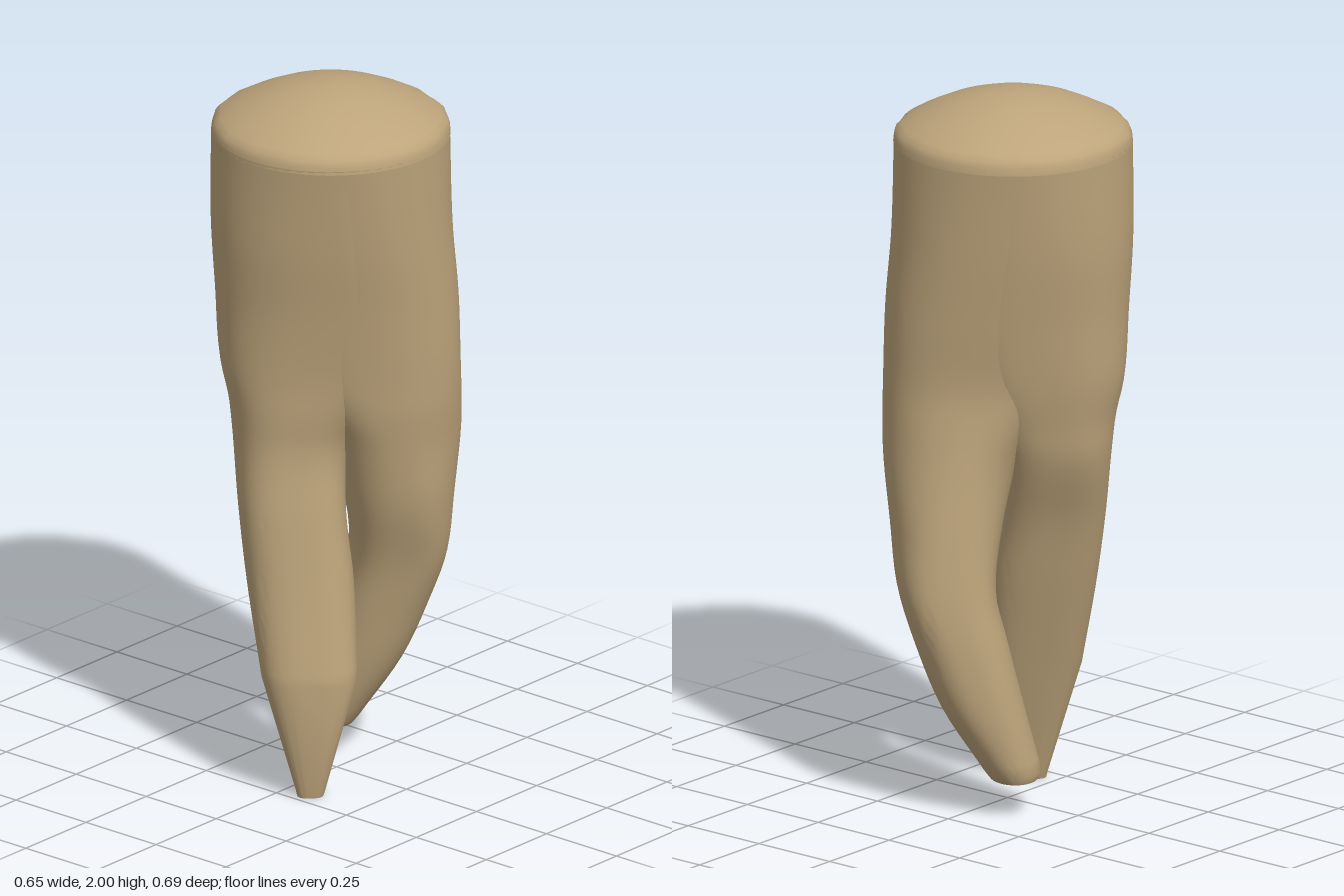
import * as THREE from 'three';
import { toCreasedNormals } from 'three/addons/utils/BufferGeometryUtils.js';

const SEG = 56, ROWS = 48;

// Each section: y, centre x, centre z, half length along the cleft, depth outward, depth inward,
// and roundness (1 is an ellipse, less is squarer). High up the two roots overlap as one trunk.
const frontSections = [
  [1.87, 0, 0.025, 0.324, 0.324, 0.2, 1],
  [1.6, 0, 0.02, 0.285, 0.327, 0.2, 0.85],
  [1.4, 0.002, 0.015, 0.248, 0.32, 0.19, 0.77],
  [1.2, -0.032, 0.05, 0.213, 0.258, 0.185, 0.71],
  [1.1, -0.055, 0.082, 0.197, 0.198, 0.172, 0.72],
  [1.0, -0.072, 0.106, 0.181, 0.158, 0.158, 0.73],
  [0.8, -0.037, 0.138, 0.15, 0.148, 0.142, 0.7],
  [0.6, 0.005, 0.153, 0.13, 0.148, 0.142, 0.74],
  [0.34, 0.06, 0.18, 0.108, 0.132, 0.128, 0.72],
];
const frontTip = [[0.015, 0.075, 0.196, 0.037, 0.04, 0.04, 0.7], [0, 0.075, 0.197, 0.033, 0.036, 0.036, 0.7]];
const backSections = [
  [1.87, 0, 0.025, 0.324, 0.324, 0.2, 1],
  [1.6, 0, 0.02, 0.283, 0.327, 0.2, 0.85],
  [1.4, 0.008, 0.01, 0.246, 0.33, 0.2, 0.77],
  [1.2, 0.052, -0.032, 0.212, 0.275, 0.2, 0.75],
  [1.1, 0.077, -0.068, 0.207, 0.235, 0.188, 0.83],
  [1.0, 0.09, -0.1, 0.202, 0.204, 0.17, 0.92],
  [0.8, 0.094, -0.145, 0.195, 0.152, 0.15, 0.82],
  [0.62, 0.07, -0.173, 0.174, 0.131, 0.131, 0.67],
  [0.48, 0.03, -0.16, 0.16, 0.127, 0.125, 0.75],
  [0.3, -0.022, -0.131, 0.137, 0.112, 0.112, 0.85],
  [0.12, -0.088, -0.083, 0.1, 0.078, 0.078, 1],
];
const backTip = [[0.1, -0.091, -0.081, 0.088, 0.066, 0.066, 1]];

// Smoothly resample the sections from top to bottom
function resample(sections) {
  const up = [...sections].reverse();
  const spline = new THREE.CubicInterpolant(up.map((s) => s[0]), up.flatMap((s) => s.slice(1)), 6, new Float32Array(6));
  const y0 = up[0][0], y1 = up[up.length - 1][0];
  return Array.from({ length: ROWS + 1 }, (_, j) => {
    const y = y1 + (y0 - y1) * j / ROWS;
    return [y, ...spline.evaluate(y)];
  });
}

const signedPow = (v, p) => Math.sign(v) * Math.abs(v) ** p;

// Loft through the sections, closed at the bottom; side is 1 for front, -1 for back
function rootGeometry(sections, tip, side) {
  const rings = [...resample(sections), ...tip];
  const k = side * Math.SQRT1_2;
  const pos = [], index = [];
  for (const [y, cx, cz, a, out, inn, p] of rings) {
    for (let i = 0; i < SEG; i++) {
      const t = i / SEG * Math.PI * 2;
      const u = a * signedPow(Math.cos(t), p);
      const v = (Math.sin(t) > 0 ? out : inn) * signedPow(Math.sin(t), p);
      pos.push(cx + k * (u - v), y, cz + k * (u + v));
    }
  }
  for (let j = 0; j < rings.length - 1; j++) {
    for (let i = 0; i < SEG; i++) {
      const a = j * SEG + i, b = j * SEG + (i + 1) % SEG;
      index.push(a, b, a + SEG, b, b + SEG, a + SEG);
    }
  }
  // Flat end
  const last = rings[rings.length - 1], base = (rings.length - 1) * SEG;
  const mid = pos.length / 3;
  pos.push(last[1], last[0], last[2]);
  for (let i = 0; i < SEG; i++) index.push(mid, base + i, base + (i + 1) % SEG);
  const g = new THREE.BufferGeometry();
  g.setAttribute('position', new THREE.Float32BufferAttribute(pos, 3));
  g.setIndex(index);
  return toCreasedNormals(g, 1.0);
}

// Domed top with a slightly uneven rim
function crownGeometry() {
  const profile = [[0.325, 1.86], [0.323, 1.88], [0.316, 1.897], [0.3, 1.911], [0.26, 1.933],
    [0.2, 1.961], [0.13, 1.984], [0.06, 1.997], [0, 2]];
  const g = new THREE.LatheGeometry(profile.map(([r, y]) => new THREE.Vector2(r, y)), 64);
  const p = g.attributes.position;
  for (let i = 0; i < p.count; i++) {
    const x = p.getX(i), z = p.getZ(i), r = Math.hypot(x, z);
    if (r < 0.29 || r > 0.32) continue;
    const t = Math.atan2(z, x);
    const f = 1 + 0.009 * Math.sin(17 * t) + 0.006 * Math.sin(7 * t + 1);
    p.setX(i, x * f);
    p.setZ(i, z * f);
  }
  return g.translate(0, 0, 0.024);
}

export function createModel() {
  const group = new THREE.Group();
  const tan = new THREE.MeshStandardMaterial({ color: 0xbda47b });
  tan.name = 'tan';
  const add = (name, geometry) => {
    const mesh = new THREE.Mesh(geometry, tan);
    mesh.name = name;
    group.add(mesh);
  };
  add('frontRoot', rootGeometry(frontSections, frontTip, 1));
  add('backRoot', rootGeometry(backSections, backTip, -1));
  add('crown', crownGeometry());
  return group;
}
